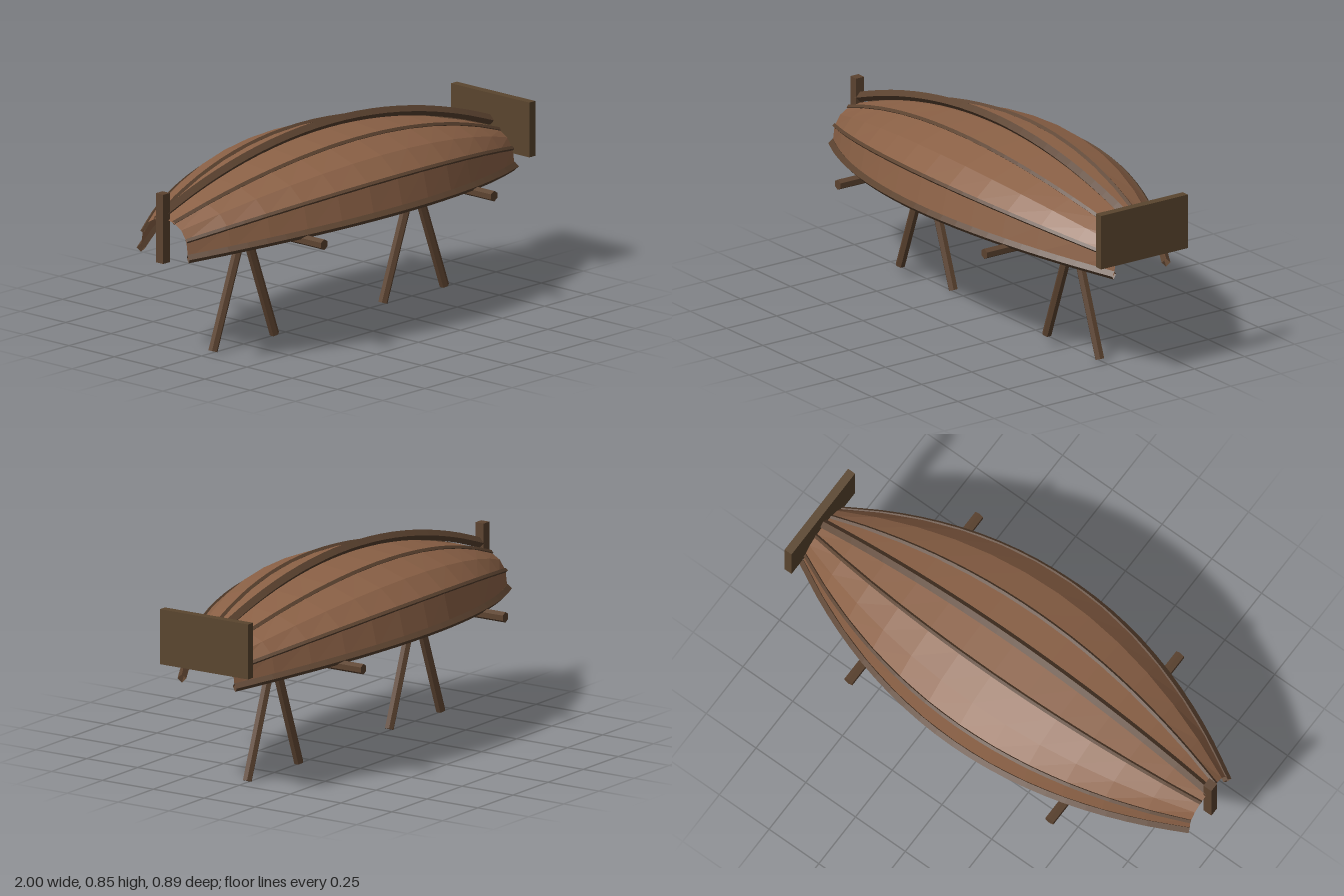
import * as THREE from 'three';

const SEG = 12, SIDES = 8, HALF = 0.97;

// Point on the hull skin: t runs -1..1 along the length, a runs 0..PI over the section
function hullPoint(t, a) {
  const k = 1 - t * t;
  const width = 0.13 + 0.285 * k;
  const rim = 0.475 + 0.068 * k;
  const height = 0.145 + 0.115 * k;
  const rise = Math.pow(Math.max(0, Math.sin(a)), 0.72);
  return new THREE.Vector3(t * HALF, rim + height * rise, width * Math.cos(a));
}

function hullGeometry() {
  const pos = [], idx = [];
  for (let i = 0; i <= SEG; i++) {
    for (let j = 0; j <= SIDES; j++) {
      pos.push(...hullPoint(-1 + 2 * i / SEG, Math.PI * j / SIDES).toArray());
    }
  }
  const row = SIDES + 1;
  for (let i = 0; i < SEG; i++) {
    for (let j = 0; j < SIDES; j++) {
      const a = i * row + j, b = a + row;
      idx.push(a, b, b + 1, a, b + 1, a + 1);
    }
  }
  const g = new THREE.BufferGeometry();
  g.setAttribute('position', new THREE.Float32BufferAttribute(pos, 3));
  g.setIndex(idx);
  g.computeVertexNormals();
  return g;
}

export function createModel() {
  const model = new THREE.Group();
  model.name = 'overturnedBoat';
  const mat = (name, color) => new THREE.MeshStandardMaterial(
    { name, color, flatShading: true, side: THREE.DoubleSide });
  const plank = mat('plankBrown', 0x8b6146);
  const trim = mat('darkTimber', 0x5c4330);
  const board = mat('transomBrown', 0x5a452e);

  const add = (name, geometry, material, parent = model) => {
    const m = new THREE.Mesh(geometry, material);
    m.name = name;
    parent.add(m);
    return m;
  };

  // Upturned open hull
  add('hull', hullGeometry(), plank);

  // Four-sided strip following the hull at one section angle
  const strip = (name, angle, radius, lift = 0) => {
    const pts = [];
    for (let i = 0; i <= SEG; i++) {
      const p = hullPoint(-1 + 2 * i / SEG, angle);
      p.y += lift;
      pts.push(p);
    }
    const path = new THREE.CatmullRomCurve3(pts);
    add(name, new THREE.TubeGeometry(path, 24, radius, 4), trim);
  };
  strip('keel', Math.PI / 2, 0.021, 0.025);
  for (const [side, flip] of [['front', false], ['back', true]]) {
    const at = a => (flip ? Math.PI - a : a);
    strip(side + 'Gunwale', at(0), 0.018);
    strip(side + 'LowerStringer', at(Math.PI / 8), 0.01);
    strip(side + 'UpperStringer', at(3 * Math.PI / 8), 0.01);
  }

  // Stem post at the bow and flat transom at the stern
  add('stemPost', new THREE.BoxGeometry(0.04, 0.29, 0.04), trim).position.set(-0.98, 0.585, 0);
  add('transom', new THREE.BoxGeometry(0.035, 0.23, 0.433), board).position.set(0.9825, 0.643, 0);

  // Trestles: a cross beam on two splayed legs
  for (const [name, x] of [['bowTrestle', -0.5], ['sternTrestle', 0.51]]) {
    const trestle = new THREE.Group();
    trestle.name = name;
    trestle.position.x = x;
    model.add(trestle);
    const beam = add('beam', new THREE.CylinderGeometry(0.022, 0.022, 0.89, 6), trim, trestle);
    beam.rotation.x = Math.PI / 2;
    beam.position.y = 0.5;
    for (const s of [-1, 1]) {
      const leg = add('leg', new THREE.CylinderGeometry(0.02, 0.02, 0.53, 6), trim, trestle);
      leg.position.set(s * 0.091, 0.255, 0);
      leg.rotation.z = s * 0.354;
    }
  }
  return model;
}
